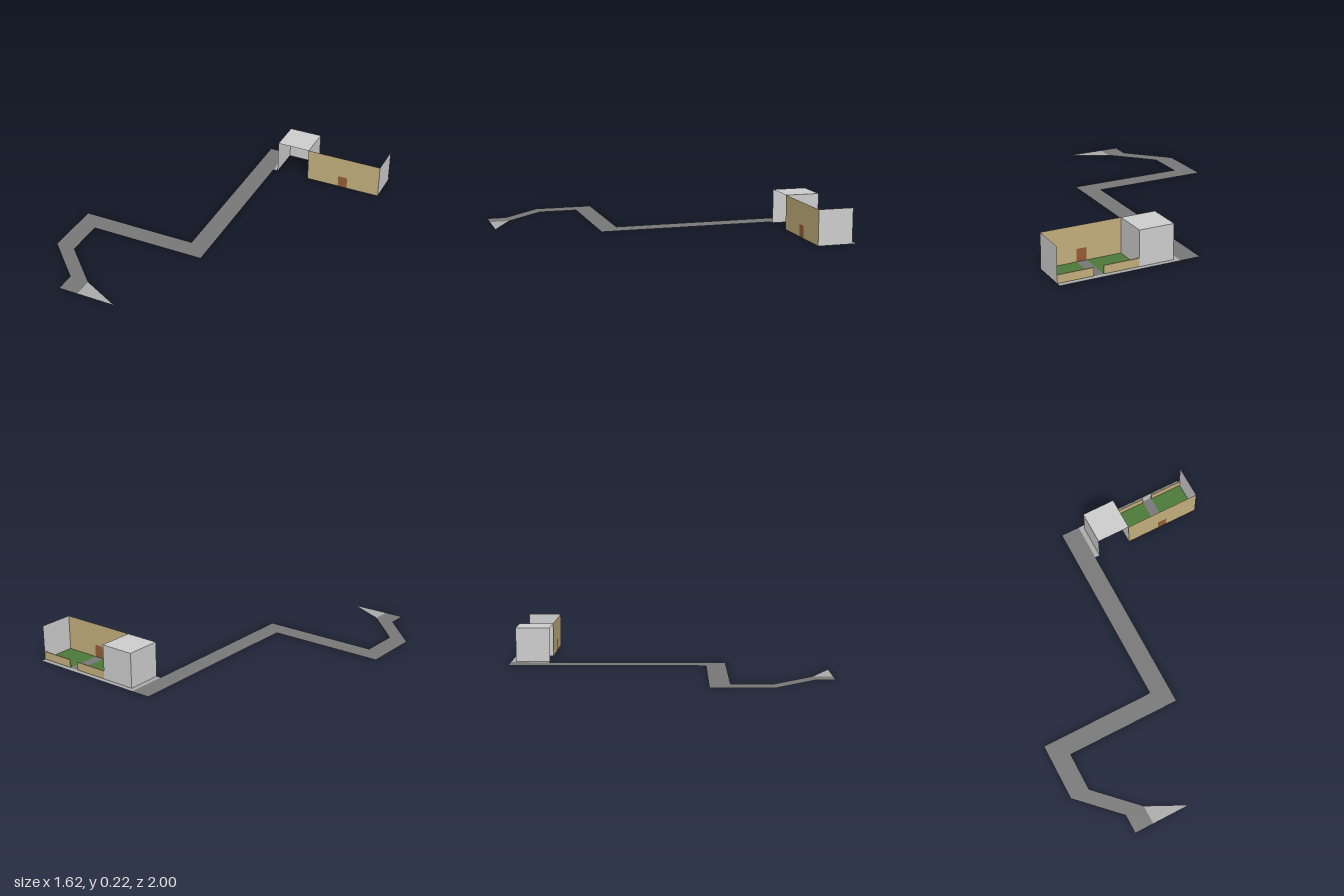
import * as THREE from 'three';

export function createModel() {
  const model = new THREE.Group();
  const mat = (name, color) => {
    const m = new THREE.MeshStandardMaterial({ color, side: THREE.DoubleSide });
    m.name = name;
    return m;
  };
  const asphalt = mat('asphalt', 0x777777);
  const paving = mat('paving', 0xaaaaaa);
  const concrete = mat('concrete', 0xcccccc);
  const sand = mat('sand wall', 0xc2ae7c);
  const wood = mat('door wood', 0x935c36);
  const grass = mat('grass', 0x4c7838);

  // Key lines of the plan
  const U = 1 / 16;
  const X0 = 1.5 * U, X1 = 5 * U, X2 = 13 * U;   // shed left, yard left, yard right
  const D0 = 8.5 * U, D1 = 9.5 * U;              // door and garden path
  const ZB = -15.5 * U, ZF = -12 * U, H = 3.5 * U;

  function add(name, geometry, material, parent = model) {
    const mesh = new THREE.Mesh(geometry, material);
    mesh.name = name;
    parent.add(mesh);
    return mesh;
  }
  const outline = pts => new THREE.ShapeGeometry(
    new THREE.Shape(pts.map(p => new THREE.Vector2(...p))));
  // Flat ground piece from x, z corners
  const flat = (name, pts, material, y = 0, parent = model) =>
    add(name, outline(pts.map(([x, z]) => [x, -z])).rotateX(-Math.PI / 2).translate(0, y, 0), material, parent);
  const rect = (a, c, b, d) => [[a, c], [b, c], [b, d], [a, d]];
  // Upright panels facing z or x
  const panelZ = (name, a, b, z, material, parent, dir = 1) => {
    const g = new THREE.PlaneGeometry(b - a, H);
    if (dir < 0) g.rotateY(Math.PI);
    return add(name, g.translate((a + b) / 2, H / 2, z), material, parent);
  };
  const panelX = (name, x, dir, parent) =>
    add(name, new THREE.PlaneGeometry(ZF - ZB, H).rotateY(dir * Math.PI / 2)
      .translate(x, H / 2, (ZB + ZF) / 2), concrete, parent);

  // Winding road with its side branch
  flat('road', [
    [-1, -16], [1, -16], [1, 6], [-11, 6], [-11, 10], [-7, 14], [-7, 16],
    [-9, 16], [-9, 14], [-13, 10], [-13, 4], [-1, 4],
  ].map(([x, z]) => [x * U, z * U]), asphalt);
  flat('roadApron', [[-7 * U, 14 * U], [-3 * U, 1], [-7 * U, 1]], paving);

  // Sidewalk around the plot
  flat('sidewalk', [[U, -1], [X2, -1], [X2, ZB], [X0, ZB], [X0, ZF], [U, ZF]], paving);

  // Shed, open at the front and below
  const shed = new THREE.Group();
  shed.name = 'shed';
  model.add(shed);
  panelX('shedLeftWall', X0, -1, shed);
  panelX('shedRightWall', X1, 1, shed);
  panelZ('shedBackWall', X0, X1, ZB, concrete, shed, -1);
  flat('shedRoof', rect(X0, ZB, X1, ZF), concrete, H, shed);

  // Yard walls, with the door filling a notch in the front wall
  const yard = new THREE.Group();
  yard.name = 'yard';
  model.add(yard);
  const doorH = 1.25 * U;
  add('frontWall', outline([[X1, 0], [D0, 0], [D0, doorH], [D1, doorH], [D1, 0],
    [X2, 0], [X2, H], [X1, H]]).translate(0, 0, ZF), sand, yard);
  add('door', outline(rect(D0, 0, D1, doorH)).translate(0, 0, ZF), wood, yard);
  panelX('sideWall', X2, 1, yard);

  // Lawns and low fences either side of the garden path
  flat('gardenPath', rect(D0, ZB, D1, ZF), asphalt, 0, yard);
  const fenceH = 0.05, fenceT = U / 8;
  for (const [a, b] of [[X1, D0], [D1, X2]]) {
    flat('lawn', rect(a, ZB, b, ZF), grass, 0, yard);
    add('fence', new THREE.BoxGeometry(b - a, fenceH, fenceT)
      .translate((a + b) / 2, fenceH / 2 + 0.001, ZB + fenceT / 2), sand, yard);
  }
  return model;
}
